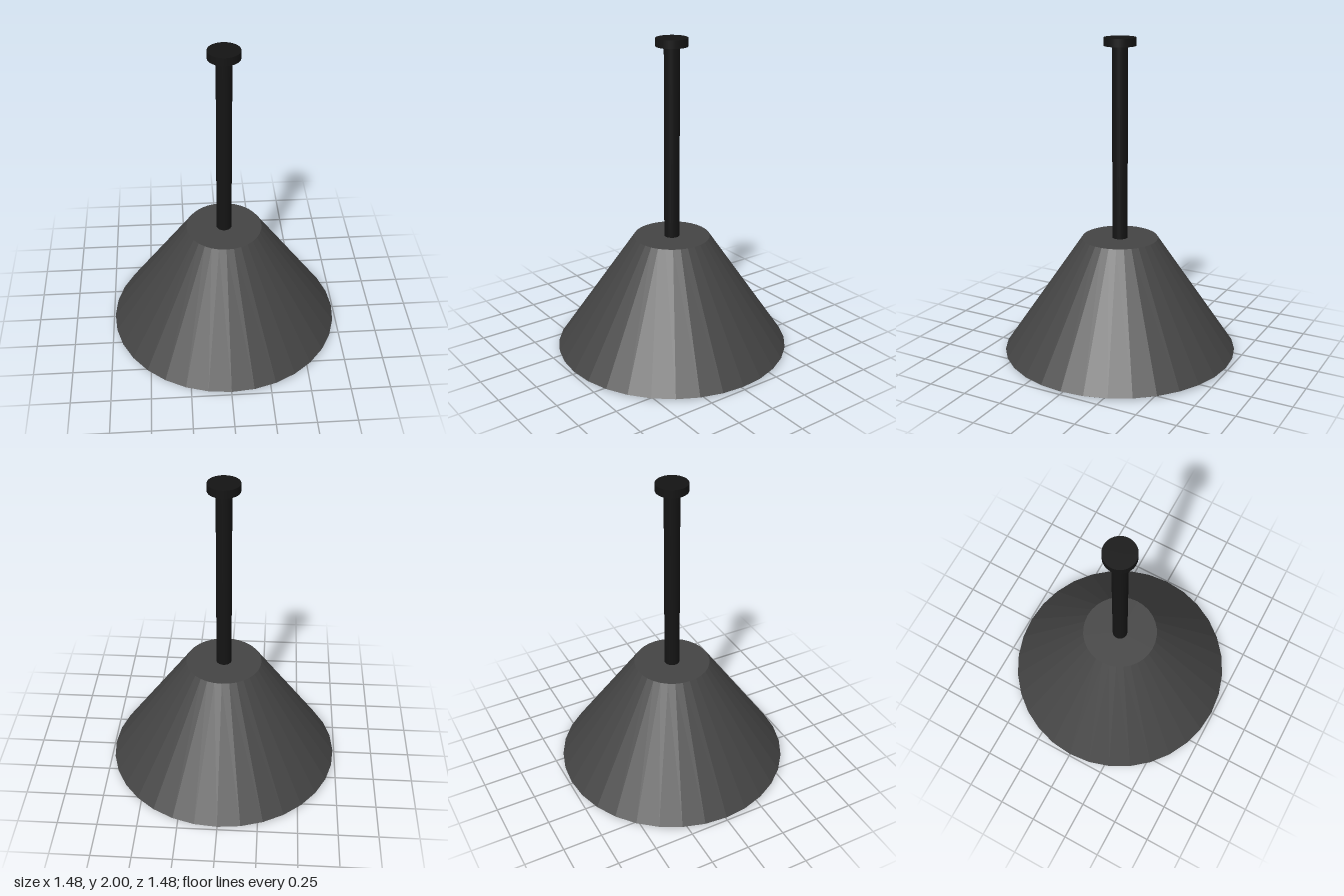
import * as THREE from 'three';

const SIDES = 32;

export function createModel() {
  const lamp = new THREE.Group();
  lamp.name = 'pendantLamp';

  const shadeMaterial = new THREE.MeshStandardMaterial({ color: 0x444444, flatShading: true });
  const stemMaterial = new THREE.MeshStandardMaterial({ color: 0x141414 });

  // Conical shade: a thin closed shell, from the inner ceiling down to the rim and up the outside
  const profile = [
    [0, 0.726],
    [0.227, 0.726],
    [0.713, 0],
    [0.74, 0.015],
    [0.24, 0.75],
    [0, 0.75],
  ].map(([r, y]) => new THREE.Vector2(r, y));
  const shade = new THREE.Mesh(new THREE.LatheGeometry(profile, SIDES), shadeMaterial);
  shade.name = 'shade';
  lamp.add(shade);

  // Upright cylinders: hanging rod and ceiling mount
  const addCylinder = (name, radius, bottom, top) => {
    const geometry = new THREE.CylinderGeometry(radius, radius, top - bottom, SIDES);
    const mesh = new THREE.Mesh(geometry, stemMaterial);
    mesh.position.y = (bottom + top) / 2;
    mesh.name = name;
    lamp.add(mesh);
  };
  addCylinder('rod', 0.048, 0.74, 1.96);
  addCylinder('ceilingMount', 0.098, 1.95, 2);

  return lamp;
}
